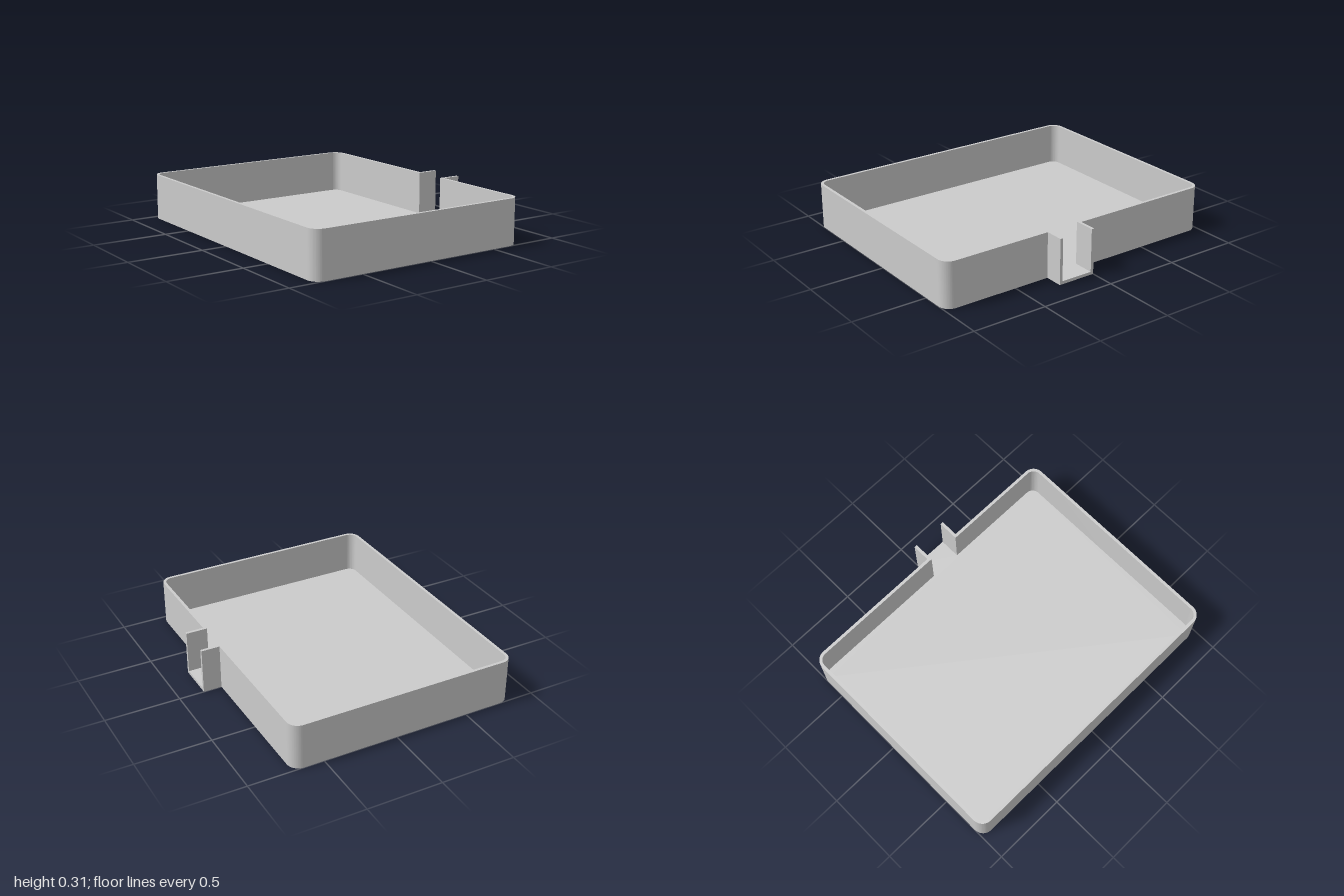
import * as THREE from 'three';
import { toCreasedNormals } from 'three/addons/utils/BufferGeometryUtils.js';

const LEFT = -0.833, RIGHT = 0.71, TIP = 0.833; // tray sides and spout end
const HALF = 1, HEIGHT = 0.305, WALL = 0.02, RADIUS = 0.075;
const SPOUT_BACK = 0, SPOUT_FRONT = 0.26;

// Open plan outline, from one spout end round the tray to the other (shape y = -z)
function outline(inset) {
  const x0 = LEFT + inset, x1 = RIGHT - inset, d = HALF - inset, r = RADIUS - inset;
  const back = -SPOUT_BACK - inset, front = -SPOUT_FRONT + inset;
  const q = Math.PI / 2;
  const path = new THREE.Path();
  path.moveTo(TIP, back);
  path.lineTo(x1, back);
  path.absarc(x1 - r, d - r, r, 0, q);
  path.absarc(x0 + r, d - r, r, q, 2 * q);
  path.absarc(x0 + r, -d + r, r, 2 * q, 3 * q);
  path.absarc(x1 - r, -d + r, r, 3 * q, 4 * q);
  path.lineTo(x1, front);
  path.lineTo(TIP, front);
  return path.getPoints(12);
}

// Extrude a plan outline upward from the ground
function plate(name, points, height, material) {
  const geometry = new THREE.ExtrudeGeometry(new THREE.Shape(points), {
    depth: height, bevelEnabled: false,
  });
  geometry.rotateX(-Math.PI / 2);
  const mesh = new THREE.Mesh(toCreasedNormals(geometry, 0.5), material);
  mesh.name = name;
  return mesh;
}

export function createModel() {
  const group = new THREE.Group();
  group.name = 'trayWithSpout';
  const material = new THREE.MeshStandardMaterial({ color: 0xcccccc });

  // One continuous thin wall, open at the end of the spout
  const ring = [...outline(0), ...outline(WALL).reverse()];
  group.add(plate('wall', ring, HEIGHT, material));

  // Floor filling the tray and the spout channel
  group.add(plate('floor', outline(WALL), WALL, material));
  return group;
}
